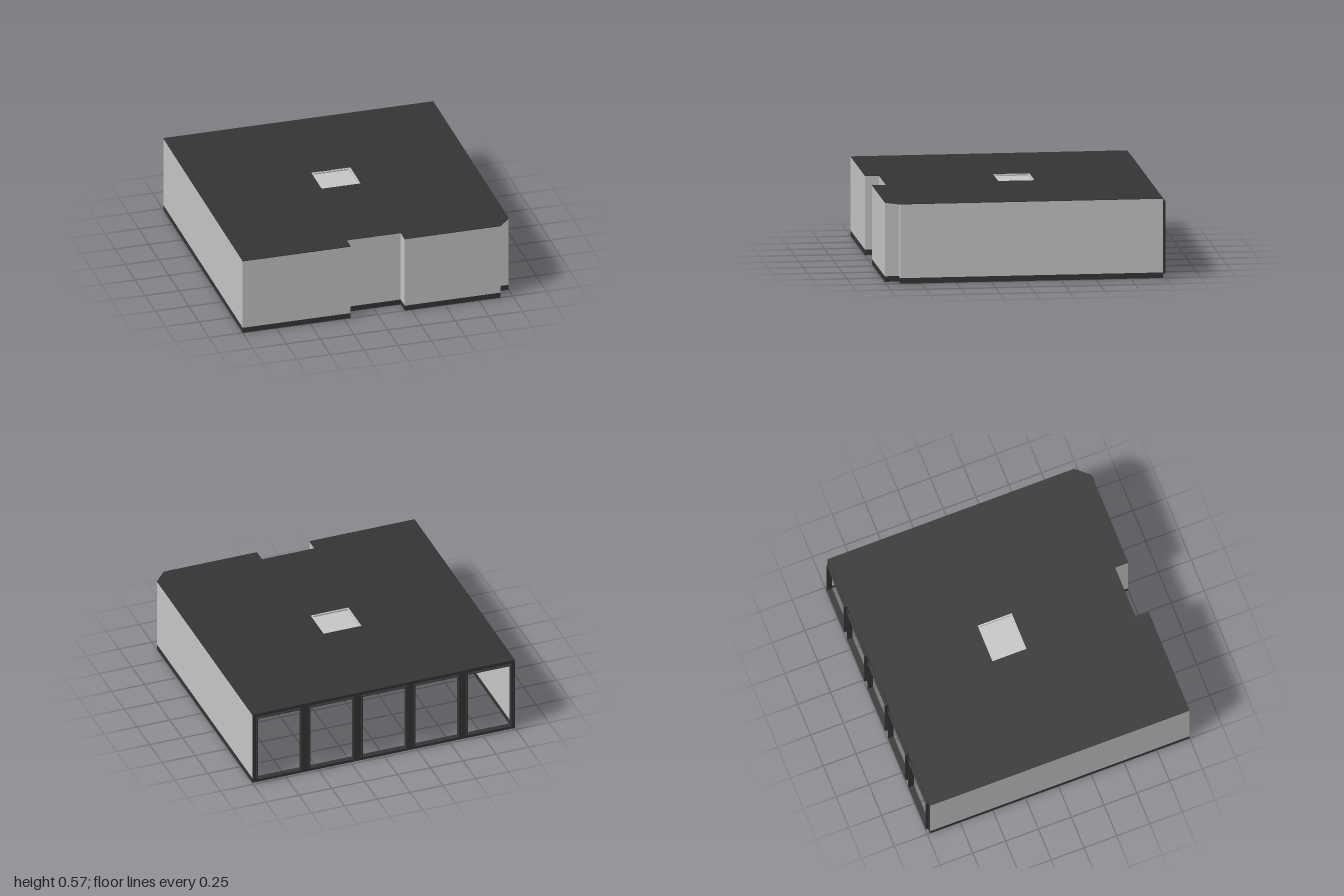
import * as THREE from 'three';

const wallMat = new THREE.MeshStandardMaterial({ name: 'light grey wall', color: 0xc8c8c8 });
const darkMat = new THREE.MeshStandardMaterial({ name: 'charcoal trim', color: 0x353535 });

const HEIGHT = 0.575, BASE = 0.04, T = 0.02, BACK = -0.98;

const toShape = (pts) => new THREE.Shape(pts.map(([x, z]) => new THREE.Vector2(x, z)));

function rectPath(x0, y0, x1, y1) {
  const p = new THREE.Path();
  p.moveTo(x0, y0).lineTo(x0, y1).lineTo(x1, y1).lineTo(x1, y0).closePath();
  return p;
}

// Extrudes a floor-plan shape (x, z) between two heights
function planSlab(name, shape, y0, y1, mat) {
  const g = new THREE.ExtrudeGeometry(shape, { depth: y1 - y0, bevelEnabled: false });
  g.rotateX(Math.PI / 2).translate(0, y1, 0);
  const m = new THREE.Mesh(g, mat);
  m.name = name;
  return m;
}

// Extrudes an elevation shape (x, y) between two depths
function elevation(name, shape, z0, z1, mat) {
  const g = new THREE.ExtrudeGeometry(shape, { depth: z1 - z0, bevelEnabled: false });
  g.translate(0, 0, z0);
  const m = new THREE.Mesh(g, mat);
  m.name = name;
  return m;
}

// Wall plan with entrance recess and stepped corner; inset t moves it inwards
const wallLine = (t, back) => [
  [-1 + t, back], [-1 + t, 1 - t], [-0.2 - t, 1 - t], [-0.2 - t, 0.9 - t],
  [0.2 + t, 0.9 - t], [0.2 + t, 1 - t], [0.91 - t, 1 - t], [0.91 - t, 0.9 - t],
  [1 - t, 0.9 - t], [1 - t, back],
];

export function createModel() {
  const model = new THREE.Group();
  model.name = 'building';

  // Walls and the skirting band beneath them
  const ring = toShape([...wallLine(0, BACK + 0.001), ...wallLine(T, BACK + 0.001).reverse()]);
  model.add(planSlab('walls', ring, BASE, HEIGHT - 0.004, wallMat));
  model.add(planSlab('skirting', ring, 0, BASE, darkMat));

  // Roof: recess cut out, corner cut diagonally, skylight opening
  const roof = toShape([
    [-1, BACK], [-1, 1], [-0.2, 1], [-0.2, 0.9], [0.2, 0.9], [0.2, 1],
    [0.91, 1], [1, 0.9], [1, BACK],
  ]);
  roof.holes.push(rectPath(-0.145, -0.17, 0.145, 0.09));
  model.add(planSlab('roof', roof, HEIGHT - 0.005, HEIGHT, darkMat));

  // Skylight: shallow kerb with a pane set into it
  const skylight = new THREE.Group();
  skylight.name = 'skylight';
  const kerb = toShape([[-0.145, -0.17], [0.145, -0.17], [0.145, 0.09], [-0.145, 0.09]]);
  kerb.holes.push(rectPath(-0.133, -0.158, 0.133, 0.078));
  skylight.add(planSlab('skylightKerb', kerb, HEIGHT - 0.02, HEIGHT - 0.003, wallMat));
  const pane = toShape([[-0.14, -0.165], [0.14, -0.165], [0.14, 0.085], [-0.14, 0.085]]);
  skylight.add(planSlab('skylightPane', pane, HEIGHT - 0.019, HEIGHT - 0.014, wallMat));
  model.add(skylight);

  // Back wall with five tall openings, each lined by a thin projecting frame
  const back = toShape([[-0.999, 0], [0.999, 0], [0.999, HEIGHT - 0.003], [-0.999, HEIGHT - 0.003]]);
  const frames = new THREE.Group();
  frames.name = 'windowFrames';
  for (let i = -2; i <= 2; i++) {
    const cx = i * 0.4, x0 = cx - 0.172, x1 = cx + 0.172, y0 = 0.028, y1 = 0.55, b = 0.006;
    back.holes.push(rectPath(x0 + b, y0 + b, x1 - b, y1 - b));
    const frame = toShape([[x0, y0], [x1, y0], [x1, y1], [x0, y1]]);
    frame.holes.push(rectPath(x0 + b, y0 + b, x1 - b, y1 - b));
    frames.add(elevation('windowFrame', frame, -1, BACK, darkMat));
  }
  model.add(elevation('backWall', back, BACK, BACK + 0.022, darkMat), frames);

  return model;
}
